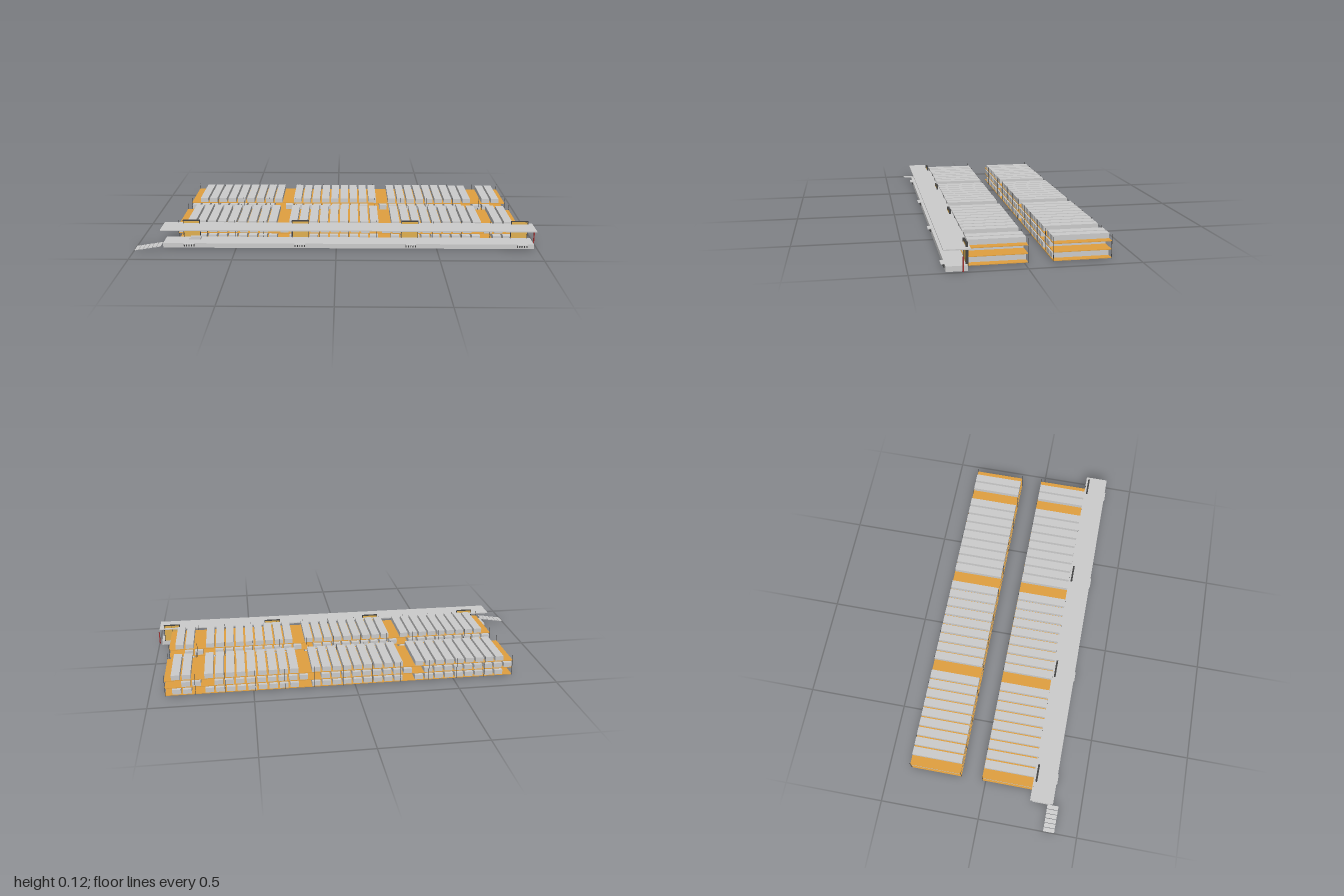
import * as THREE from 'three';

const grey = new THREE.MeshStandardMaterial({ color: 0xcccccc });
const orange = new THREE.MeshStandardMaterial({ color: 0xe0a040 });
const yellow = new THREE.MeshStandardMaterial({ color: 0xe0b050 });
const dark = new THREE.MeshStandardMaterial({ color: 0x444444 });
const red = new THREE.MeshStandardMaterial({ color: 0xa03030 });

// Box given by its minimum and maximum on each axis
function box(parent, name, mat, x0, x1, y0, y1, z0, z1) {
  const mesh = new THREE.Mesh(new THREE.BoxGeometry(x1 - x0, y1 - y0, z1 - z0), mat);
  mesh.position.set((x0 + x1) / 2, (y0 + y1) / 2, (z0 + z1) / 2);
  mesh.name = name;
  parent.add(mesh);
  return mesh;
}

// Three-level rack with boards, slim posts and bays of long crates
function rack(name, z0, z1) {
  const g = new THREE.Group();
  g.name = name;
  const x0 = -0.806, x1 = 0.924, pitch = 0.0515, width = 0.041;
  [0.002, 0.04, 0.078].forEach((y, level) => {
    box(g, 'shelfBoard', orange, x0, x1, y, y + 0.003, z0, z1);
    const shift = level === 1 ? -0.046 : 0;
    [[-0.757, 9], [-0.24, 9], [0.279, 9], [0.797, 2]].forEach(([start, count]) => {
      for (let i = 0; i < count; i++) {
        const x = start + shift + i * pitch;
        box(g, 'crate', grey, x, x + width, y + 0.004, y + 0.028, z0 + 0.002, z1 - 0.002);
      }
    });
  });
  // Posts along both long edges
  for (let i = 0; i <= 12; i++) {
    const x = x0 + 0.001 + i * (x1 - x0 - 0.002) / 12;
    for (const z of [z0, z1]) box(g, 'post', dark, x - 0.001, x + 0.001, 0, 0.11, z - 0.001, z + 0.001);
  }
  return g;
}

// Sliding gate with frame, sill plate and bumper strips
function gate(x) {
  const g = new THREE.Group();
  g.name = 'gate';
  const h = 0.043;
  box(g, 'gatePanel', yellow, x - h + 0.003, x + h - 0.003, 0.025, 0.111, 0.253, 0.257);
  for (const s of [-1, 1]) {
    box(g, 'gateJamb', dark, x + s * (h - 0.0015) - 0.0015, x + s * (h - 0.0015) + 0.0015, 0.024, 0.114, 0.25, 0.259);
  }
  box(g, 'gateLintel', dark, x - h, x + h, 0.111, 0.115, 0.25, 0.259);
  box(g, 'sillPlate', grey, x - 0.026, x + 0.026, 0.022, 0.025, 0.335, 0.361);
  for (let i = -2; i <= 2; i++) {
    box(g, 'bumper', dark, x + i * 0.012 - 0.002, x + i * 0.012 + 0.002, 0.008, 0.024, 0.344, 0.35);
  }
  return g;
}

export function createModel() {
  const model = new THREE.Group();
  model.name = 'warehouse';
  model.add(rack('frontRack', -0.015, 0.243), rack('backRack', -0.385, -0.126));

  // Loading dock and canopy
  box(model, 'dock', grey, -0.865, 0.983, 0, 0.024, 0.253, 0.345);
  box(model, 'canopy', grey, -0.873, 0.99, 0.093, 0.098, 0.24, 0.355);
  for (let i = 0; i < 4; i++) model.add(gate(-0.735 + i * 0.553));

  // Sloping ramp of separate slats at the dock's end
  const ramp = new THREE.Group();
  ramp.name = 'ramp';
  for (let i = 0; i < 6; i++) {
    const x = -0.998 + i * 0.0222;
    const y = 0.002 + i * 0.0036;
    const slat = box(ramp, 'rampSlat', grey, x, x + 0.02, y, y + 0.003, 0.33, 0.386);
    slat.rotation.z = 0.15;
  }
  model.add(ramp);

  // Small cart on the dock and red marker post
  box(model, 'cartBed', grey, -0.745, -0.685, 0.025, 0.032, 0.28, 0.296);
  box(model, 'cartBody', grey, -0.735, -0.68, 0.032, 0.041, 0.28, 0.296);
  box(model, 'markerPost', red, 0.995, 1, 0.002, 0.067, 0.271, 0.276);
  return model;
}
